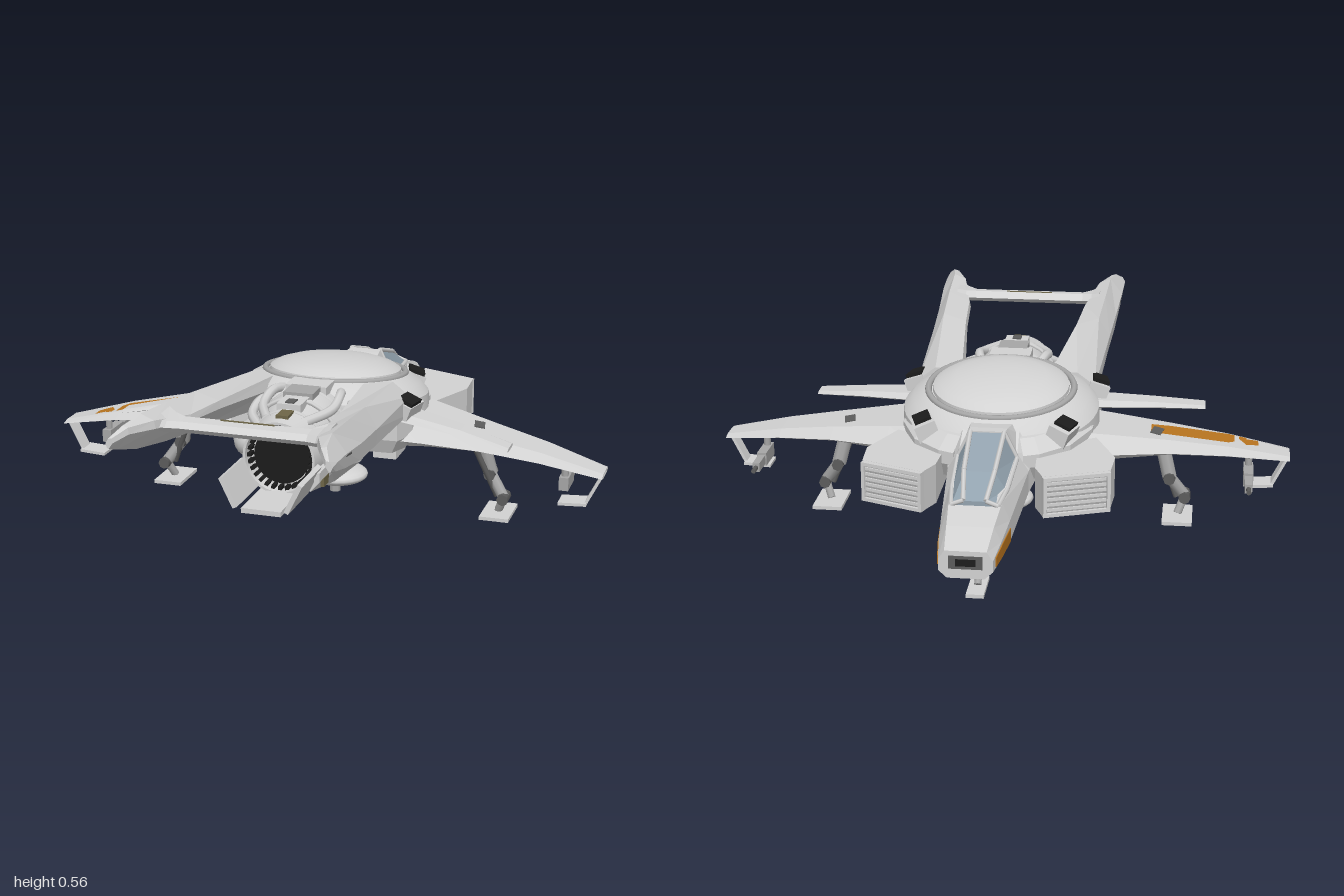
import * as THREE from 'three';
import { toCreasedNormals } from 'three/addons/utils/BufferGeometryUtils.js';

const mat = (name, color) => Object.assign(new THREE.MeshStandardMaterial({ color }), { name });
const M = {
  hull: mat('hull grey', 0xd2d2d2), trim: mat('trim grey', 0xa6a6a6), dark: mat('dark metal', 0x5c5c5c),
  black: mat('black', 0x1c1c1c), glass: mat('glass blue', 0x93a3af), orange: mat('orange', 0xb8741f),
  olive: mat('olive', 0x6e6648),
};

function add(parent, name, geo, material, p = [0, 0, 0], r = [0, 0, 0]) {
  const m = new THREE.Mesh(geo, material);
  m.name = name;
  m.position.set(...p);
  m.rotation.set(...r);
  parent.add(m);
  return m;
}
const box = (w, h, d) => new THREE.BoxGeometry(w, h, d);

// Joins rings of [x, y, z] points into a closed faceted solid, facing outwards
function loft(rings) {
  const n = rings[0].length, tris = [];
  for (let i = 0; i < rings.length - 1; i++) for (let j = 0; j < n; j++) {
    const k = (j + 1) % n, a = rings[i], b = rings[i + 1];
    tris.push([a[j], a[k], b[k]], [a[j], b[k], b[j]]);
  }
  const cap = (ring, flip) => {
    const c = [0, 1, 2].map(d => ring.reduce((t, p) => t + p[d], 0) / n);
    ring.forEach((p, j) => {
      const q = ring[(j + 1) % n];
      tris.push(flip ? [c, q, p] : [c, p, q]);
    });
  };
  cap(rings[0], true);
  cap(rings[rings.length - 1], false);
  let vol = 0;
  for (const [a, b, c] of tris) vol += a[0] * (b[1] * c[2] - b[2] * c[1])
    + a[1] * (b[2] * c[0] - b[0] * c[2]) + a[2] * (b[0] * c[1] - b[1] * c[0]);
  if (vol < 0) tris.forEach(t => t.reverse());
  const g = new THREE.BufferGeometry();
  g.setAttribute('position', new THREE.Float32BufferAttribute(tris.flat(2), 3));
  g.computeVertexNormals();
  return g;
}

// Symmetric eight-sided hull; rows are z, yBottom, yMid, yTop, wBottom, wMid, wTop
const hullLoft = rows => loft(rows.map(([z, yb, ym, yt, wb, wm, wt]) => [
  [wb, yb, z], [wm, ym, z], [wm, ym + (yt - ym) * 0.55, z], [wt, yt, z],
  [-wt, yt, z], [-wm, ym + (yt - ym) * 0.55, z], [-wm, ym, z], [-wb, yb, z]]));

// Wing; rows are x, zLead, zTrail, y, thickness
const wingLoft = (rows, s) => loft(rows.map(([x, l, t, y, h]) =>
  [[0, 0], [0.2, 0.5], [0.75, 0.5], [1, 0], [0.75, -0.5], [0.2, -0.5]].map(([c, k]) => [x * s, y + k * h, l + c * (t - l)])));

function rod(parent, name, material, a, b, r, sides = 8) {
  const A = new THREE.Vector3(...a), d = new THREE.Vector3(...b).sub(A);
  const m = add(parent, name, new THREE.CylinderGeometry(r, r, d.length(), sides), material);
  m.position.copy(A).addScaledVector(d, 0.5);
  m.quaternion.setFromUnitVectors(new THREE.Vector3(0, 1, 0), d.normalize());
}
const lathe = (pts, n = 48) => toCreasedNormals(
  new THREE.LatheGeometry(pts.map(p => new THREE.Vector2(...p)), n), 0.5);

const WING = [[0.22, -0.37, 0.1, 0.295, 0.12], [0.36, -0.31, 0.09, 0.29, 0.085], [0.56, -0.23, 0.07, 0.275, 0.05],
  [0.75, -0.165, 0.055, 0.25, 0.035], [0.955, -0.09, 0.04, 0.212, 0.016]];
function wingAt(x) {
  const i = Math.max(0, WING.findIndex(w => w[0] >= x) - 1), a = WING[i], b = WING[i + 1];
  const t = (x - a[0]) / (b[0] - a[0]);
  return a.map((v, k) => v + (b[k] - v) * t);
}
// Painted patches lying on the wing skin; spans are x0, x1, chord fractions at x0 and at x1
function wingPaint(s, up, spans) {
  const out = [];
  for (const [x0, x1, l0, t0, l1, t1] of spans) {
    const at = (x, c) => {
      const [, l, t, y, h] = wingAt(x);
      return [x * s, y + up * (h / 2 + 0.002), l + c * (t - l)];
    };
    const a = at(x0, l0), b = at(x1, l1), c = at(x1, t1), d = at(x0, t0);
    out.push(...(s * up > 0 ? [a, d, c, a, c, b] : [a, c, d, a, b, c]).flat());
  }
  const g = new THREE.BufferGeometry();
  g.setAttribute('position', new THREE.Float32BufferAttribute(out, 3));
  g.computeVertexNormals();
  return g;
}

function buildSide(s) {
  const g = new THREE.Group();
  g.name = s > 0 ? 'leftSide' : 'rightSide';
  add(g, 'mainWing', wingLoft(WING, s), M.hull);
  add(g, 'rearWing', wingLoft([[0.24, -0.08, 0.1, 0.37, 0.03], [0.5, 0.02, 0.14, 0.345, 0.022],
    [0.67, 0.09, 0.18, 0.322, 0.012]], s), M.hull);
  add(g, 'wingHatch', box(0.035, 0.008, 0.06), M.dark, [0.515 * s, 0.307, -0.11], [0, 0.2 * s, -0.16 * s]);

  // Shoulder fairing around the hub
  const shoulder = [[.11, -.48], [.16, -.46], [.25, -.38], [.31, -.24], [.32, .04], [.29, .12], [.11, .13]];
  add(g, 'shoulder', loft([[.25, .92], [.3, 1], [.37, 1], [.41, .86]].map(([y, k]) =>
    shoulder.map(([x, z]) => [x * k * s, y + (y > 0.3 ? z * 0.06 : 0), -0.13 + (z + 0.13) * k]))), M.hull);

  // Tail boom
  const boom = [
    [0, [.30, .36], [.30, .42], [.24, .465], [.15, .465], [.14, .42], [.2, .34]],
    [.46, [.315, .40], [.32, .455], [.28, .52], [.2, .495], [.195, .47], [.28, .39]],
    [.66, [.325, .42], [.33, .475], [.29, .545], [.215, .51], [.21, .49], [.30, .415]],
    [.85, [.335, .46], [.341, .505], [.297, .563], [.255, .545], [.25, .52], [.315, .45]],
    [.95, [.339, .485], [.344, .513], [.312, .555], [.295, .55], [.292, .53], [.33, .48]],
    [1, [.34, .5], [.345, .513], [.335, .53], [.325, .53], [.323, .515], [.335, .497]]];
  add(g, 'tailBoom', loft(boom.map(([z, ...p]) => p.map(([x, y]) => [x * s, y, z]))), M.hull);
  add(g, 'boomSlit', box(0.004, 0.006, 0.07), M.dark, [0.338 * s, 0.495, 0.83], [-0.15, 0, 0]);

  // Air intake with louvred front
  const plan = [[.185, -.62], [.388, -.542], [.395, -.43], [.31, -.22], [.14, -.26], [.155, -.55]];
  add(g, 'intake', loft([0.2, 0.33].map(y => plan.map(([x, z]) => [x * s, y + (y < 0.3 && z > -0.4 ? 0.04 : 0), z]))), M.hull);
  const grille = new THREE.Group();
  grille.name = 'intakeGrille';
  grille.position.set(0.285 * s, 0.265, -0.585);
  grille.rotation.y = -0.364 * s;
  add(grille, 'grilleBack', box(0.195, 0.108, 0.008), M.trim);
  for (let i = 0; i < 6; i++) add(grille, 'louvre', box(0.19, 0.009, 0.012), M.hull, [0, -0.043 + i * 0.0172, -0.003]);
  for (const y of [-0.059, 0.059]) add(grille, 'grilleRim', box(0.215, 0.011, 0.022), M.hull, [0, y, -0.003]);
  for (const x of [-0.102, 0.102]) add(grille, 'grilleRim', box(0.011, 0.12, 0.022), M.hull, [x, 0, -0.003]);
  g.add(grille);

  // Manoeuvring thrusters on the shoulders
  for (const [x, y, z, ry] of [[.22, .385, -.35, .3], [.3, .405, .05, -.2]]) {
    add(g, 'thrusterRim', box(0.07, 0.055, 0.1), M.hull, [x * s, y - 0.008, z], [0, ry * s, -0.35 * s]);
    add(g, 'thrusterGrille', box(0.056, 0.06, 0.07), M.black, [x * s * 1.02, y, z + 0.008], [0, ry * s, -0.35 * s]);
  }

  // Wing tip frame and gun
  const slat = (a, b, d) => add(g, 'tipFrame', box(Math.hypot(b[0] - a[0], b[1] - a[1]) + 0.008, 0.01, d), M.hull,
    [s * (a[0] + b[0]) / 2, (a[1] + b[1]) / 2, -0.02], [0, 0, s * Math.atan2(b[1] - a[1], b[0] - a[0])]);
  slat([0.95, 0.212], [0.9, 0.11], 0.05);
  slat([0.9, 0.11], [0.815, 0.105], 0.08);
  rod(g, 'gunBarrel', M.dark, [0.82 * s, 0.158, -0.25], [0.82 * s, 0.158, -0.05], 0.008);
  add(g, 'gunSleeve', box(0.024, 0.03, 0.11), M.trim, [0.82 * s, 0.158, -0.16]);
  add(g, 'gunBody', box(0.032, 0.045, 0.11), M.trim, [0.82 * s, 0.158, -0.08]);
  rod(g, 'gunMount', M.trim, [0.82 * s, 0.17, -0.05], [0.82 * s, 0.235, -0.05], 0.012);

  // Wing landing leg
  const legs = [[.53, .265, -.08], [.56, .145, -.1], [.612, .07, -.075], [.59, .015, -.1]].map(([x, y, z]) => [x * s, y, z]);
  [0.025, 0.02, 0.014].forEach((r, i) => rod(g, 'wingLeg', M.trim, legs[i], legs[i + 1], r));
  rod(g, 'legPiston', M.dark, [0.515 * s, 0.24, -0.055], [0.585 * s, 0.07, -0.09], 0.01);
  for (const p of legs.slice(1, 3)) rod(g, 'legJoint', M.dark, [p[0], p[1], p[2] - 0.03], [p[0], p[1], p[2] + 0.03], 0.02);
  add(g, 'footPad', box(0.1, 0.012, 0.16), M.hull, [0.59 * s, 0.008, -0.1]);

  // Engine side tanks and pipes
  add(g, 'sideTank', new THREE.CapsuleGeometry(0.062, 0.15, 6, 16), M.hull, [0.15 * s, 0.32, 0.22], [Math.PI / 2, 0, 0]);
  for (const [x, y] of [[.105, .44], [.14, .405]]) {
    const curve = new THREE.CatmullRomCurve3([[x * 0.8, y, .08], [x * 1.08, y + .02, .18], [x * 1.1, y, .28], [x * .6, y - .01, .4]]
      .map(([a, b, c]) => new THREE.Vector3(a * s, b, c)));
    add(g, 'enginePipe', new THREE.TubeGeometry(curve, 16, 0.016, 8), M.hull);
  }
  add(g, 'bellyBlock', box(0.08, 0.04, 0.12), M.hull, [0.22 * s, 0.22, -0.04]);
  add(g, 'nozzleBlock', box(0.012, 0.03, 0.05), M.olive, [0.13 * s, 0.245, 0.4]);

  // Nose stripe
  add(g, 'noseStripe', loft([[-.97, .0839, .212], [-.9, .093, .222], [-.78, .104, .225]].map(([z, w, top]) =>
    [[w - .003, .183], [w + .003, .183], [w + .003, top], [w - .003, top]].map(([x, y]) => [x * s, y, z]))), M.orange);
  // Canopy frame rails
  const rail = [[.034, .316, -.8], [.047, .369, -.69], [.053, .425, -.5]].map(([x, y, z]) => [x * s, y, z]);
  const sill = [[.071, .302, -.8], [.084, .312, -.69], [.093, .342, -.5]].map(([x, y, z]) => [x * s, y, z]);
  for (const r of [rail, sill]) for (let i = 0; i < 2; i++) rod(g, 'canopyRail', M.hull, r[i], r[i + 1], 0.008, 6);
  for (const i of [0, 2]) rod(g, 'canopyHoop', M.hull, rail[i], sill[i], 0.007, 6);
  return g;
}

export function createModel() {
  const g = new THREE.Group();
  g.name = 'spacecraft';
  g.add(buildSide(1), buildSide(-1));
  add(g, 'wingPaintTop', wingPaint(-1, 1, [[.495, .56, .37, .6, .36, .64], [.56, .75, .36, .64, .36, .73],
    [.75, .77, .36, .73, .45, .74], [.785, .81, .62, .74, .4, .74], [.81, .85, .4, .68, .5, .74]]), M.orange);
  add(g, 'wingPaintUnder', wingPaint(1, -1, [[.6, .75, .4, .7, .4, .72]]), M.orange);

  // Nose and cockpit
  add(g, 'nose', hullLoft([[-1, .155, .178, .24, .055, .08, .062], [-.9, .14, .178, .275, .06, .093, .07],
    [-.78, .138, .18, .305, .07, .104, .08], [-.48, .138, .22, .35, .075, .128, .092],
    [-.4, .19, .25, .4, .09, .15, .09], [-.2, .2, .27, .42, .14, .2, .12]]), M.hull);
  add(g, 'noseSensor', box(0.1, 0.04, 0.008), M.dark, [0, 0.205, -0.999]);
  add(g, 'noseLens', box(0.06, 0.022, 0.01), M.black, [0, 0.205, -0.999]);
  const canopy = [[-.8, .07, .3, .03, .314], [-.69, .083, .31, .045, .366], [-.5, .092, .34, .051, .422]];
  const ring = ([z, wb, yb, wt, yt]) => [[wb, yb, z], [wt, yt, z], [-wt, yt, z], [-wb, yb, z]];
  add(g, 'canopy', loft(canopy.map(ring)), M.glass);
  add(g, 'canopyBack', loft([[-.5, .094, .34, .055, .426], [-.46, .095, .34, .06, .424], [-.34, .11, .35, .07, .405]].map(ring)), M.hull);

  // Central hub with tilted dome
  const hub = new THREE.Group();
  hub.name = 'hub';
  hub.position.set(0, 0.42, -0.13);
  hub.rotation.x = -0.11;
  add(hub, 'hubBody', lathe([[0, -.2], [.18, -.2], [.28, -.13], [.325, -.08], [.322, -.03], [.29, .008], [.25, .03], [0, .03]]), M.hull);
  add(hub, 'domeRing', new THREE.TorusGeometry(0.24, 0.011, 8, 48), M.trim, [0, 0.03, 0], [Math.PI / 2, 0, 0]);
  add(hub, 'dome', lathe([[.226, .025], [.224, .042], [.2, .057], [.15, .072], [.08, .082], [0, .085]]), M.hull);
  g.add(hub);

  // Belly and turret
  add(g, 'belly', hullLoft([[-.28, .2, .25, .36, .1, .15, .1], [-.02, .14, .22, .4, .08, .16, .1],
    [.1, .13, .21, .44, .07, .16, .1], [.33, .172, .25, .43, .06, .13, .08]]), M.hull);
  add(g, 'turretStem', new THREE.CylinderGeometry(0.035, 0.05, 0.13, 16), M.trim, [0, 0.15, -0.14]);
  add(g, 'turretPlate', box(0.1, 0.02, 0.18), M.hull, [0, 0.16, -0.15]);
  add(g, 'turretPod', new THREE.SphereGeometry(0.11, 24, 12), M.hull, [0, 0.067, -0.15]).scale.set(1, 0.3, 0.95);
  rod(g, 'turretFoot', M.trim, [0, 0.01, -0.13], [0, 0.05, -0.13], 0.02);

  // Engine
  const toZ = [Math.PI / 2, 0, 0], cy = 0.325;
  add(g, 'engineCasing', lathe([[0, 0.05], [.14, .05], [.15, .18], [.148, .28], [.13, .34], [.12, .47], [.112, .47], [.108, .42], [0, .42]], 32), M.hull, [0, cy, 0], toZ);
  add(g, 'engineCore', new THREE.CylinderGeometry(0.092, 0.092, 0.03, 32), M.black, [0, cy, 0.425], toZ);
  for (const z of [0.2, 0.3, 0.37]) add(g, 'engineBand', new THREE.TorusGeometry(z < 0.35 ? 0.147 : 0.126, 0.008, 6, 32), M.hull, [0, cy, z]);
  for (let i = 0; i < 28; i++) {
    const a = i / 28 * Math.PI * 2;
    add(g, 'nozzleTooth', box(0.012, 0.012, 0.03), M.black, [Math.cos(a) * 0.102, cy + Math.sin(a) * 0.102, 0.445], [0, 0, a]);
  }
  // Nozzle paddles beneath and beside the exhaust
  add(g, 'lowerPaddle', box(0.13, 0.016, 0.2), M.hull, [0, 0.207, 0.54]);
  for (const s of [-1, 1]) {
    add(g, 'sidePaddle', box(0.016, 0.105, 0.2), M.hull, [0.106 * s, 0.262, 0.545], [0, 0, -0.45 * s]);
    add(g, 'paddleArm', box(0.018, 0.03, 0.12), M.hull, [0.13 * s, 0.28, 0.42]);
  }
  // Engine top equipment
  add(g, 'spineBlock', box(0.14, 0.05, 0.09), M.hull, [0, 0.46, 0.15]);
  add(g, 'spineStep', box(0.1, 0.04, 0.09), M.trim, [0, 0.465, 0.23]);
  add(g, 'spineTail', box(0.08, 0.04, 0.12), M.hull, [0, 0.455, 0.31]);
  add(g, 'spineHatch', box(0.04, 0.02, 0.07), M.olive, [0, 0.447, 0.4]);
  add(g, 'spineSlot', box(0.03, 0.006, 0.04), M.dark, [0, 0.476, 0.34]);

  // Tail crossbar
  add(g, 'tailCrossbar', loft([[-.265, .68, .85, .525], [-.235, .7, .82, .515], [-.2, .715, .8, .51], [.2, .715, .8, .51], [.235, .7, .82, .515], [.265, .68, .85, .525]]
    .map(([x, a, b, y]) => [[x, y, a], [x, y + .02, a + .025], [x, y + .016, b - .02], [x, y, b], [x, y - .018, b - .02], [x, y - .018, a + .025]])), M.hull);
  add(g, 'crossbarSlit', box(0.17, 0.004, 0.006), M.olive, [0, 0.53, 0.745]);

  // Nose landing leg
  const n = [[0, .16, -.64], [0, .1, -.71], [0, .06, -.69], [0, .015, -.74]];
  [0.016, 0.014, 0.011].forEach((r, i) => rod(g, 'noseLeg', M.trim, n[i], n[i + 1], r));
  rod(g, 'noseLegPiston', M.dark, [0, 0.14, -0.7], [0, 0.06, -0.72], 0.008);
  add(g, 'noseFootPad', box(0.055, 0.012, 0.14), M.hull, [0, 0.008, -0.74]);
  return g;
}
